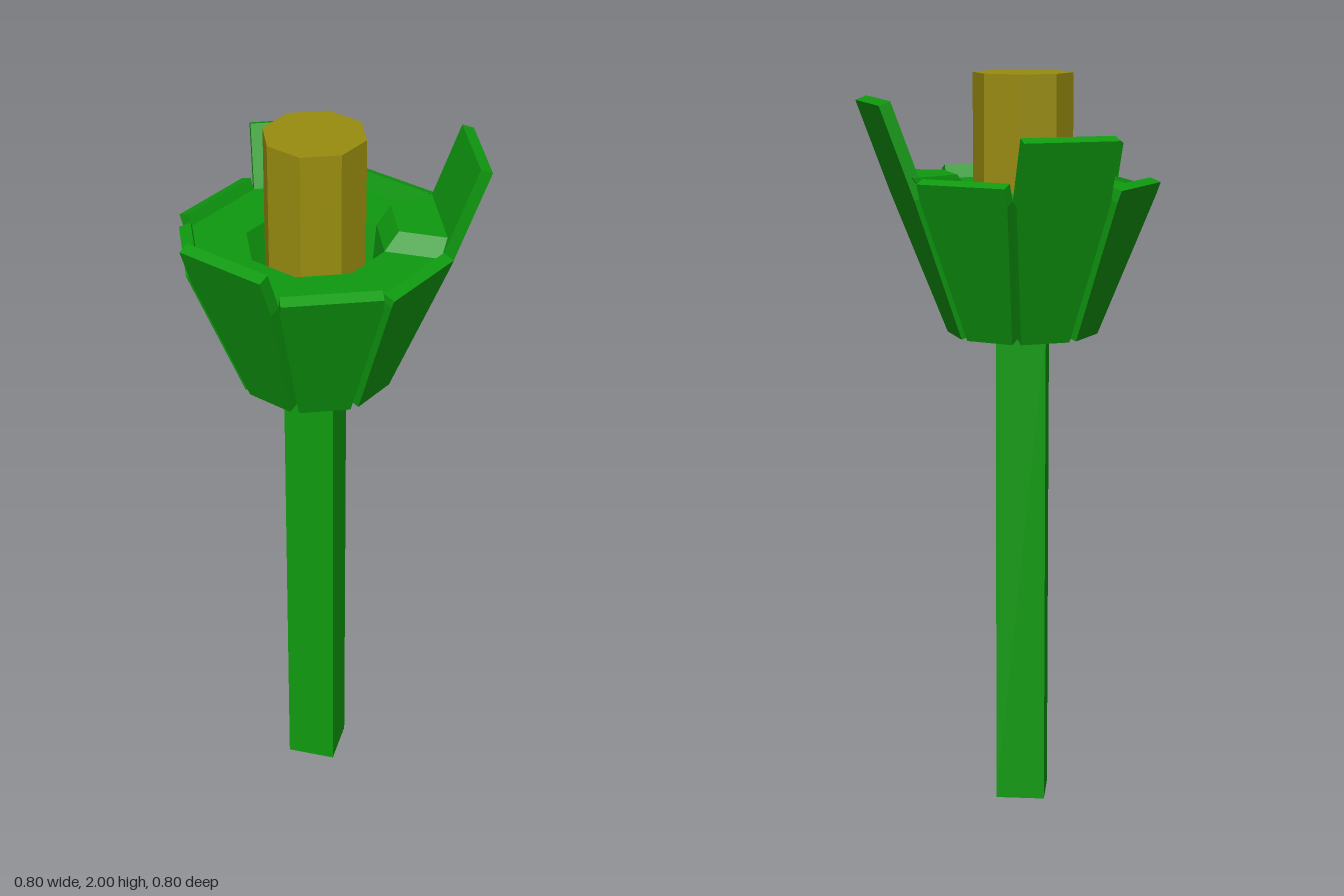
import * as THREE from 'three';

const CX = -0.042, CZ = 0.01;      // flower axis
const BASE = 1.325, RIM = 1.70;    // cup bottom and shelf heights
const A0 = 0.16, A1 = 0.30;        // cup apothems at those heights
const SLOPE = (A1 - A0) / (RIM - BASE);
const SIDE = Math.tan(Math.PI / 8);

// Skin a stack of rings (counter-clockwise from above) and cap both ends
function loft(rings) {
  const pos = [], n = rings[0].length;
  const tri = (...ps) => ps.forEach(p => pos.push(...p));
  const mid = r => [0, 1, 2].map(k => r.reduce((s, p) => s + p[k], 0) / n);
  const first = rings[0], last = rings[rings.length - 1];
  const m0 = mid(first), m1 = mid(last);
  for (let j = 0; j < n; j++) {
    const k = (j + 1) % n;
    for (let i = 0; i + 1 < rings.length; i++) {
      const a = rings[i], b = rings[i + 1];
      tri(a[j], a[k], b[k]);
      tri(a[j], b[k], b[j]);
    }
    tri(m0, first[k], first[j]);
    tri(m1, last[j], last[k]);
  }
  const g = new THREE.BufferGeometry();
  g.setAttribute('position', new THREE.Float32BufferAttribute(pos, 3));
  g.computeVertexNormals();
  return g;
}

// Octagon with corners on the axes
function octagon(radius, y, dz = 0) {
  return Array.from({ length: 8 }, (_, i) => {
    const t = i * Math.PI / 4;
    return [Math.sin(t) * radius, y, Math.cos(t) * radius + dz];
  });
}

// Four corners of a petal section: inner face at apothem a, half width w
function petalSection(t, a, w, y) {
  const s = Math.sin(t), c = Math.cos(t);
  const at = (r, u, h) => [s * r + c * u, h, c * r - s * u];
  const out = a + 0.03, low = y - 0.011;
  return [at(out, -w, low), at(out, w, low), at(a, w, y), at(a, -w, y)];
}

export function createModel() {
  const green = new THREE.MeshStandardMaterial({ color: 0x0f9a0f });
  green.name = 'leaf green';
  const ochre = new THREE.MeshStandardMaterial({ color: 0x998c10 });
  ochre.name = 'ochre';

  const model = new THREE.Group();
  model.name = 'flower';
  const add = (name, geometry, material, x = CX, y = 0, z = CZ) => {
    const flat = geometry.index ? geometry.toNonIndexed() : geometry;
    flat.computeVertexNormals();
    const mesh = new THREE.Mesh(flat, material);
    mesh.name = name;
    mesh.position.set(x, y, z);
    model.add(mesh);
  };

  // Square stem
  add('stem', new THREE.BoxGeometry(0.133, 1.33, 0.133), green, CX, 0.665, 0.013);

  // Octagonal cup with a flat shelf and a sunken middle
  const R = 1 / Math.cos(Math.PI / 8);
  add('cup', loft([
    octagon(A0 * R, BASE), octagon(A1 * R, RIM),
    octagon(0.18, RIM), octagon(0.178, 1.58, 0.04),
  ]), green);

  // Pistil
  add('pistil', new THREE.CylinderGeometry(0.132, 0.132, 0.45, 8), ochre, CX, 1.775);

  // Petals lean along the cup wall, then rise above the shelf at one width
  const tops = [1.735, 1.72, 1.94, 1.745, 1.86, 1.73, 1.71, 1.805];
  tops.forEach((top, i) => {
    const t = (i + 0.5) * Math.PI / 4;
    add('petal' + (i + 1), loft([
      petalSection(t, A0, A0 * SIDE, BASE),
      petalSection(t, A1, A1 * SIDE, RIM),
      petalSection(t, A1 + SLOPE * (top - RIM), A1 * SIDE, top),
    ]), green);
  });

  // Raised shelf block in front of the tallest petal
  const corner = (i, r, y) => {
    const t = i * Math.PI / 4;
    return [Math.sin(t) * r, y, Math.cos(t) * r];
  };
  const foot = [corner(2, A1 * R, RIM), corner(3, A1 * R, RIM),
    corner(3, 0.18, RIM), corner(2, 0.18, RIM)];
  const head = foot.map(([x, y, z]) => [x + 0.03, y + 0.048, z - 0.025]);
  add('raisedShelf', loft([foot, head]), green);

  return model;
}
